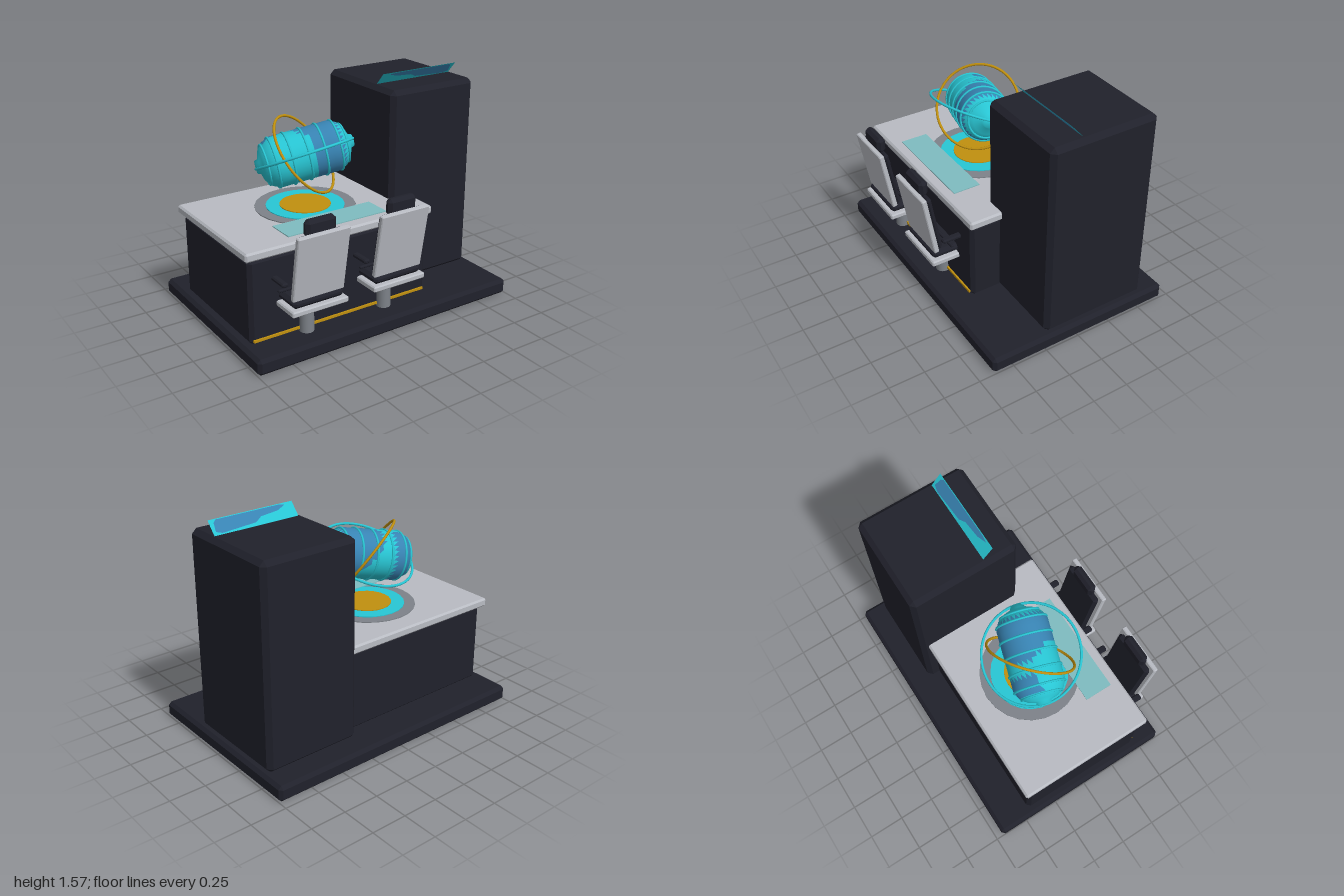
import * as THREE from 'three';
import { ConvexGeometry } from 'three/addons/geometries/ConvexGeometry.js';

const mat = (name, color, side = THREE.FrontSide) => {
  const m = new THREE.MeshStandardMaterial({ color, side });
  m.name = name;
  return m;
};

// Box with chamfered edges, given as min and max on each axis
function chamferBox([x0, x1], [y0, y1], [z0, z1], c) {
  const pts = [];
  for (const [x, sx] of [[x0, 1], [x1, -1]])
    for (const [y, sy] of [[y0, 1], [y1, -1]])
      for (const [z, sz] of [[z0, 1], [z1, -1]])
        pts.push(
          new THREE.Vector3(x, y + sy * c, z + sz * c),
          new THREE.Vector3(x + sx * c, y, z + sz * c),
          new THREE.Vector3(x + sx * c, y + sy * c, z));
  return new ConvexGeometry(pts);
}

export function createModel() {
  const root = new THREE.Group();
  root.name = 'commandDesk';
  const dark = mat('darkNavy', 0x20212b);
  const white = mat('paleGrey', 0xb8bbc2);
  const grey = mat('steelGrey', 0x7d8289);
  const cyan = mat('cyan', 0x28c6d4, THREE.DoubleSide);
  const blue = mat('blue', 0x3884b4, THREE.DoubleSide);
  const gold = mat('gold', 0xc0900f);
  const glass = mat('paleTeal', 0x7fbcc0);

  const add = (name, geo, material, parent = root, pos = [0, 0, 0]) => {
    const m = new THREE.Mesh(geo, material);
    m.name = name;
    m.position.set(...pos);
    parent.add(m);
    return m;
  };

  // Platform, tower and desk
  add('platform', chamferBox([-1, 1], [0, 0.11], [-0.7, 0.645], 0.022), dark);
  add('tower', chamferBox([0.27, 0.965], [0.1, 1.49], [-0.54, 0.235], 0.032), dark);
  add('deskBody', chamferBox([-0.945, 0.415], [0.1, 0.68], [-0.455, 0.45], 0.025), dark);
  add('deskTop', chamferBox([-0.97, 0.442], [0.677, 0.737], [-0.492, 0.467], 0.012), white);
  add('footStrip', new THREE.BoxGeometry(1.32, 0.016, 0.014), gold, root, [-0.27, 0.134, 0.455]);

  // Projector discs and control panel set on the desk
  const centre = [-0.26, 1.1, -0.012];
  [['outerDisc', 0.34, grey], ['middleDisc', 0.265, cyan], ['innerDisc', 0.173, gold]].forEach(([name, r, m], i) =>
    add(name, new THREE.CylinderGeometry(r, r, 0.008, 24), m, root, [centre[0], 0.739 + i * 0.005, centre[2]]));
  add('controlPanel', new THREE.BoxGeometry(0.745, 0.006, 0.195), glass, root, [-0.262, 0.748, 0.3]);

  // Leaning display on the tower, with a painted blue patch
  const display = new THREE.Group();
  display.name = 'display';
  display.position.set(0.62, 1.53, 0.035);
  display.rotation.x = Math.atan2(0.07, 0.08);
  root.add(display);
  add('displaySheet', new THREE.PlaneGeometry(0.62, 0.108), cyan, display);
  const patch = new THREE.Shape([
    [-0.25, 0.04], [-0.18, 0.012], [-0.05, 0.0], [0.0, -0.03], [0.25, -0.045], [0.29, -0.03], [0.28, 0.03], [0.26, 0.048], [-0.2, 0.048],
  ].map(([x, y]) => new THREE.Vector2(x, y)));
  for (const z of [-0.002, 0.002])
    add('displayPatch', new THREE.ShapeGeometry(patch), blue, display, [0, 0, z]);

  // Floating capsule: lathed hull with blue areas, ribs and end cap rings
  const capsule = new THREE.Group();
  capsule.name = 'capsule';
  capsule.position.set(...centre);
  capsule.quaternion.setFromUnitVectors(new THREE.Vector3(0, 1, 0), new THREE.Vector3(1, 0.2, 0.3).normalize());
  root.add(capsule);
  const profile = [[0, -0.335], [0.045, -0.33], [0.05, -0.31], [0.1, -0.295], [0.145, -0.26], [0.165, -0.22]];
  for (let t = -0.2; t < 0.21; t += 0.04) profile.push([0.172, t]);
  profile.push([0.165, 0.22], [0.145, 0.255], [0.1, 0.29], [0.05, 0.31], [0.04, 0.335], [0, 0.338]);
  const hull = new THREE.LatheGeometry(profile.map(([r, t]) => new THREE.Vector2(r, t)), 32);
  capsule.updateMatrix();
  const p = hull.attributes.position, src = hull.index.array, lists = [[], []];
  const c = new THREE.Vector3(), v = new THREE.Vector3();
  for (let i = 0; i < src.length; i += 3) {
    c.set(0, 0, 0);
    for (let k = 0; k < 3; k++) c.add(v.fromBufferAttribute(p, src[i + k]).divideScalar(3));
    const t = c.y;
    v.copy(c).applyQuaternion(capsule.quaternion);
    const angle = Math.atan2(v.z, v.y);
    const edge = 0.04 - 0.07 * Math.cos(angle) + 0.05 * Math.sin(2 * angle);
    const isBlue = (t > edge && t < 0.24) || (t < -0.14 && t > -0.25 && v.z < -0.08);
    lists[isBlue ? 1 : 0].push(src[i], src[i + 1], src[i + 2]);
  }
  hull.setIndex([...lists[0], ...lists[1]]);
  hull.addGroup(0, lists[0].length, 0);
  hull.addGroup(lists[0].length, lists[1].length, 1);
  add('capsuleHull', hull, [cyan, blue], capsule);
  for (const [t, r] of [[-0.27, 0.135], [-0.215, 0.169], [-0.11, 0.174], [0, 0.174], [0.11, 0.174], [0.215, 0.169], [0.27, 0.13]])
    add('capsuleRib', new THREE.TorusGeometry(r, 0.008, 6, 32), cyan, capsule, [0, t, 0]).rotation.x = Math.PI / 2;

  // Orbit rings, each facing along its own normal
  for (const [name, r, tube, n, m] of [
    ['cyanOrbitRing', 0.333, 0.009, [-0.1, 0.91, -0.4], cyan],
    ['goldOrbitRing', 0.292, 0.009, [0.51, 0.61, 0.61], gold],
  ])
    add(name, new THREE.TorusGeometry(r, tube, 8, 56), m, root, centre)
      .quaternion.setFromUnitVectors(new THREE.Vector3(0, 0, 1), new THREE.Vector3(...n).normalize());

  // Two chairs facing the desk
  for (const x of [-0.555, 0.047]) {
    const chair = new THREE.Group();
    chair.name = 'chair';
    chair.position.set(x, 0, 0.47);
    root.add(chair);
    add('post', new THREE.CylinderGeometry(0.048, 0.048, 0.23, 20), grey, chair, [0, 0.215, 0]);
    add('seatPan', chamferBox([-0.203, 0.203], [0.328, 0.368], [-0.18, 0.178], 0.008), white, chair);
    add('seatCushion', chamferBox([-0.185, 0.185], [0.368, 0.428], [-0.16, 0.16], 0.022), dark, chair);
    // Reclined back
    const back = new THREE.Group();
    back.name = 'chairBack';
    back.position.set(0, 0.42, 0.135);
    back.rotation.x = 0.17;
    chair.add(back);
    add('backShell', chamferBox([-0.185, 0.185], [0, 0.45], [-0.02, 0.015], 0.006), white, back);
    add('backCushion', chamferBox([-0.165, 0.165], [-0.01, 0.43], [-0.062, -0.018], 0.02), dark, back);
    add('headrest', chamferBox([-0.107, 0.107], [0.835, 0.947], [0.132, 0.195], 0.022), dark, chair);
    for (const s of [-1, 1])
      add('armrest', chamferBox([-0.022, 0.022], [0.512, 0.54], [-0.1, 0.11], 0.008), dark, chair, [s * 0.212, 0, 0]);
    add('armBar', chamferBox([-0.225, 0.225], [0.452, 0.47], [0.03, 0.05], 0.005), dark, chair);
  }
  return root;
}
